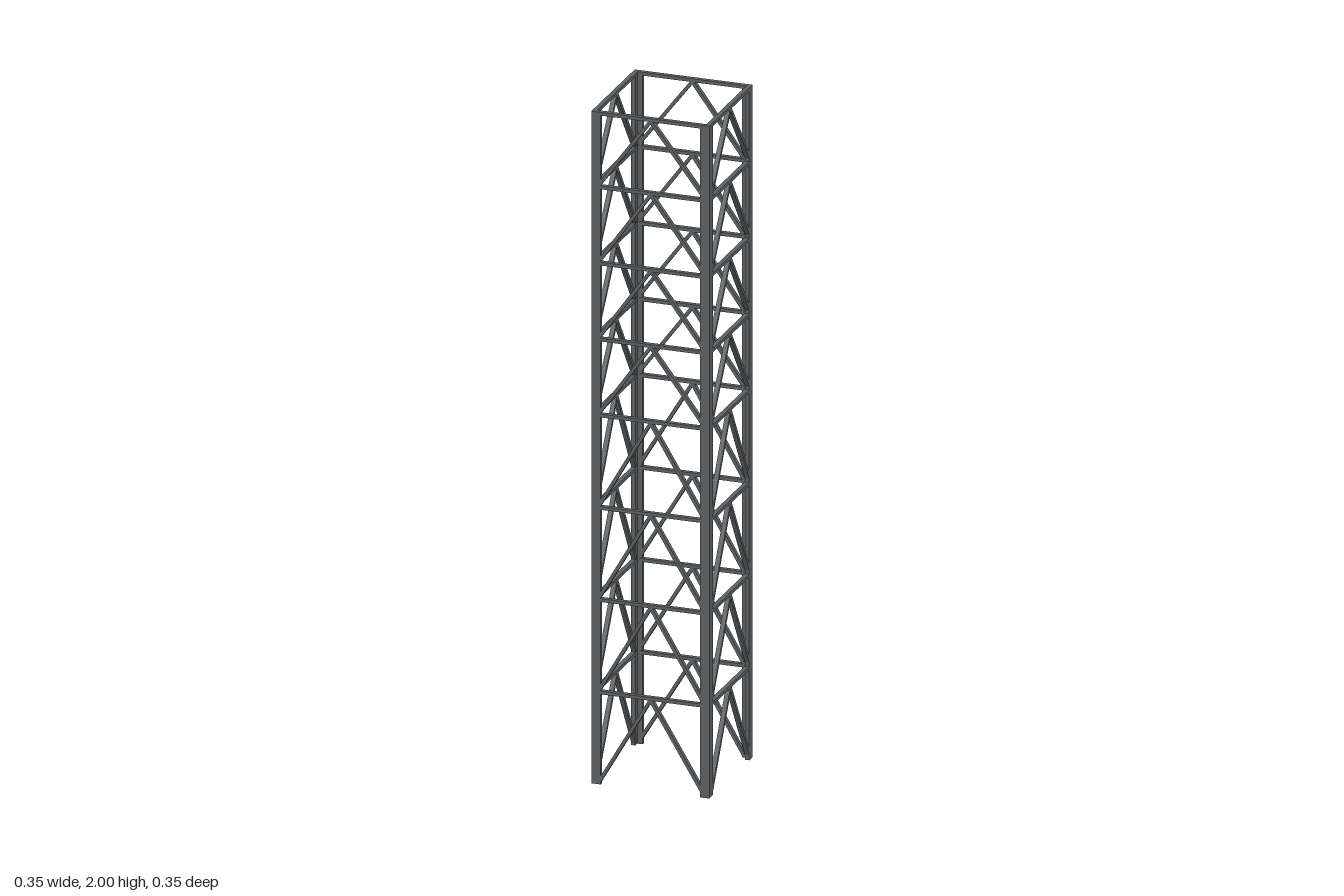
import * as THREE from 'three';

const HALF = 0.175;   // outer half width of the tower
const FLANGE = 0.028; // leg angle flange width
const THICK = 0.012;  // leg angle thickness
const DEPTH = 0.0135; // brace depth
const BAR = 0.01;     // brace width in the plane of the face
const LEVELS = [0, 0.273, 0.548, 0.822, 1.097, 1.323, 1.549, 1.776, 1.995];

export function createModel() {
  const steel = new THREE.MeshStandardMaterial({ color: 0x5c6062 });
  steel.name = 'dark grey steel';
  const tower = new THREE.Group();
  tower.name = 'latticeTower';

  // L-shaped corner leg, outer corner at (-HALF, -HALF) of the section
  const section = new THREE.Shape([
    [0, 0], [FLANGE, 0], [FLANGE, THICK], [THICK, THICK], [THICK, FLANGE], [0, FLANGE],
  ].map(([x, y]) => new THREE.Vector2(x - HALF, y - HALF)));
  const legGeometry = new THREE.ExtrudeGeometry(section, { depth: 2, bevelEnabled: false });
  legGeometry.rotateX(-Math.PI / 2);

  // Straight bar between two points in the plane of a face
  const addBar = (parent, name, x0, y0, x1, y1) => {
    const dx = x1 - x0, dy = y1 - y0;
    const bar = new THREE.Mesh(new THREE.BoxGeometry(Math.hypot(dx, dy), BAR, DEPTH), steel);
    bar.name = name;
    bar.position.set((x0 + x1) / 2, (y0 + y1) / 2, HALF - DEPTH / 2);
    bar.rotation.z = Math.atan2(dy, dx);
    parent.add(bar);
  };

  // Four identical sides, each with one leg and a braced face
  for (let i = 0; i < 4; i++) {
    const side = new THREE.Group();
    side.name = 'side' + (i + 1);
    side.rotation.y = i * Math.PI / 2;

    const leg = new THREE.Mesh(legGeometry, steel);
    leg.name = 'cornerLeg';
    side.add(leg);

    for (let k = 1; k < LEVELS.length; k++) {
      const low = LEVELS[k - 1], high = LEVELS[k];
      addBar(side, 'crossBar', -HALF + 0.005, high, HALF - 0.005, high);
      // Inverted V bracing, one foot seated slightly higher than the other
      addBar(side, 'diagonalBrace', -0.152, low + 0.008, 0, high - 0.004);
      addBar(side, 'diagonalBrace', 0.152, low + 0.018, 0, high - 0.004);
    }
    tower.add(side);
  }
  return tower;
}
